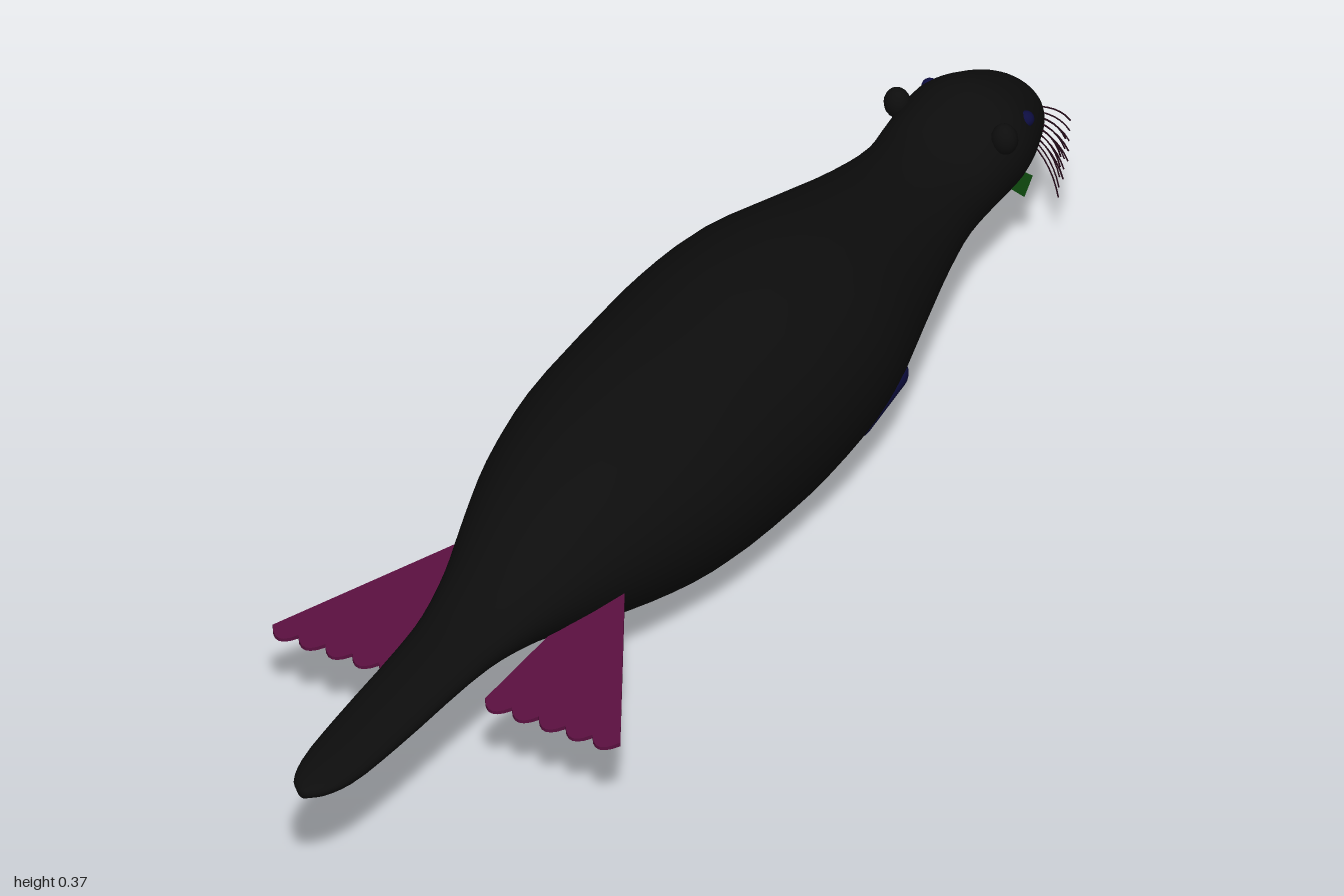
import * as THREE from 'three';

const mat = (name, color, side = THREE.FrontSide) => {
  const m = new THREE.MeshStandardMaterial({ color, side });
  m.name = name;
  return m;
};

// Smooth body lofted from elliptical rings: [z, bottom, top, halfWidth]
const PROFILE = [
  [0.995, 0.188, 0.202, 0.008], [0.975, 0.182, 0.208, 0.027], [0.926, 0.173, 0.214, 0.043],
  [0.82, 0.168, 0.219, 0.053], [0.63, 0.163, 0.228, 0.062], [0.55, 0.155, 0.237, 0.07],
  [0.45, 0.132, 0.265, 0.092], [0.34, 0.094, 0.31, 0.127], [0.22, 0.055, 0.346, 0.163],
  [0.08, 0.022, 0.366, 0.19], [-0.1, 0.004, 0.374, 0.199], [-0.22, 0.004, 0.374, 0.199],
  [-0.35, 0.022, 0.36, 0.188], [-0.5, 0.058, 0.323, 0.148], [-0.62, 0.09, 0.292, 0.116],
  [-0.72, 0.108, 0.28, 0.097], [-0.79, 0.115, 0.292, 0.099], [-0.86, 0.12, 0.298, 0.1],
  [-0.92, 0.13, 0.277, 0.083], [-0.965, 0.146, 0.25, 0.062], [-0.987, 0.165, 0.226, 0.04],
  [-0.995, 0.19, 0.205, 0.012],
];

function bodyGeometry(sides = 40, sub = 3) {
  const curveA = new THREE.CatmullRomCurve3(PROFILE.map(p => new THREE.Vector3(p[1], p[2], p[0])));
  const curveB = new THREE.CatmullRomCurve3(PROFILE.map(p => new THREE.Vector3(p[3], 0, p[0])));
  const rings = (PROFILE.length - 1) * sub;
  const pos = [], idx = [];
  for (let i = 0; i <= rings; i++) {
    const a = curveA.getPoint(i / rings), w = curveB.getPoint(i / rings).x;
    for (let j = 0; j < sides; j++) {
      const t = (j / sides) * Math.PI * 2;
      pos.push(w * Math.cos(t), (a.x + a.y) / 2 + ((a.y - a.x) / 2) * Math.sin(t), a.z);
    }
  }
  const id = (i, j) => i * sides + (j % sides);
  for (let i = 0; i < rings; i++)
    for (let j = 0; j < sides; j++)
      idx.push(id(i, j), id(i + 1, j), id(i, j + 1), id(i + 1, j), id(i + 1, j + 1), id(i, j + 1));
  // End caps
  const tail = pos.length / 3;
  pos.push(0, 0.195, 0.998, 0, 0.197, -0.998);
  for (let j = 0; j < sides; j++) {
    idx.push(tail, id(0, j), id(0, j + 1));
    idx.push(tail + 1, id(rings, j + 1), id(rings, j));
  }
  const g = new THREE.BufferGeometry();
  g.setAttribute('position', new THREE.Float32BufferAttribute(pos, 3));
  g.setIndex(idx);
  g.computeVertexNormals();
  return g;
}

// Webbed hind foot: fan outline with five scalloped toes, thinning toward the toes
function footGeometry(s) {
  const shape = new THREE.Shape();
  shape.moveTo(s * 0.09, -0.32);
  shape.lineTo(s * 0.13, -0.32);
  const outer = [0.285, 0.595], inner = [0.065, 0.6], toes = 5;
  shape.lineTo(s * outer[0], -outer[1]);
  for (let i = 1; i <= toes; i++) {
    const x = THREE.MathUtils.lerp(outer[0], inner[0], i / toes);
    const xm = THREE.MathUtils.lerp(outer[0], inner[0], (i - 0.5) / toes);
    shape.quadraticCurveTo(s * xm, -0.635, s * x, -0.598);
  }
  const g = new THREE.ExtrudeGeometry(shape, { depth: 1, bevelEnabled: false, curveSegments: 6 });
  g.rotateX(-Math.PI / 2);
  const p = g.attributes.position;
  for (let i = 0; i < p.count; i++) {
    const t = (p.getZ(i) - 0.32) / 0.295;
    const mid = THREE.MathUtils.lerp(0.165, 0.138, t), thick = THREE.MathUtils.lerp(0.028, 0.005, t);
    p.setY(i, mid + (p.getY(i) - 0.5) * thick);
  }
  g.computeVertexNormals();
  return g;
}

export function createModel() {
  const group = new THREE.Group();
  group.name = 'swimmingOtter';
  const fur = mat('black fur', 0x0d0d0d);
  const skin = mat('plum skin', 0x5a103f);
  const navy = mat('navy', 0x0d0d40);
  const green = mat('green', 0x0f4d10, THREE.DoubleSide);
  const whiskerMat = mat('dark whisker', 0x220a18);

  const add = (name, geo, m, x = 0, y = 0, z = 0) => {
    const mesh = new THREE.Mesh(geo, m);
    mesh.name = name;
    mesh.position.set(x, y, z);
    group.add(mesh);
    return mesh;
  };

  add('body', bodyGeometry(), fur);

  const ball = new THREE.SphereGeometry(1, 16, 12);
  for (const s of [1, -1]) {
    const side = s > 0 ? 'left' : 'right';
    add(side + 'HindFoot', footGeometry(s), skin);

    // Ear and eye
    add(side + 'Ear', ball, fur, s * 0.088, 0.262, -0.81).scale.set(0.02, 0.024, 0.018);
    add(side + 'Eye', ball, navy, s * 0.079, 0.248, -0.885).scale.setScalar(0.012);

    // Folded foreleg and paw against the belly
    const leg = add(side + 'Foreleg', new THREE.CapsuleGeometry(0.026, 0.09, 6, 14), navy, s * 0.104, 0.062, -0.415);
    leg.quaternion.setFromUnitVectors(
      new THREE.Vector3(0, 1, 0), new THREE.Vector3(s * 0.12, 0.4, -0.9).normalize());
    add(side + 'Forepaw', ball, skin, s * 0.084, 0.031, -0.335).scale.set(0.028, 0.022, 0.034);

    // Thin cheek plate beside the jaw
    const plate = new THREE.Shape([
      new THREE.Vector2(s * 0.045, 0.172), new THREE.Vector2(s * 0.099, 0.166),
      new THREE.Vector2(s * 0.085, 0.124), new THREE.Vector2(s * 0.045, 0.135)]);
    add(side + 'CheekPlate', new THREE.ShapeGeometry(plate), green, 0, 0, -0.87);

    // Whiskers fanning out and down from the muzzle
    const whiskers = new THREE.Group();
    whiskers.name = side + 'Whiskers';
    for (let row = 0; row < 3; row++) {
      for (let i = 0; i < 5; i++) {
        const root = new THREE.Vector3(s * (0.042 + i * 0.005), 0.205 - row * 0.016, -0.97 + i * 0.01);
        const tip = new THREE.Vector3(
          s * (0.09 + i * 0.012 - row * 0.008), 0.185 - row * 0.034, -0.99 + i * 0.022);
        const mid = root.clone().lerp(tip, 0.55).add(new THREE.Vector3(s * 0.006, 0.012, -0.006));
        const hair = new THREE.Mesh(
          new THREE.TubeGeometry(new THREE.QuadraticBezierCurve3(root, mid, tip), 6, 0.0014, 4), whiskerMat);
        hair.name = 'whisker';
        whiskers.add(hair);
      }
    }
    group.add(whiskers);
  }
  return group;
}
